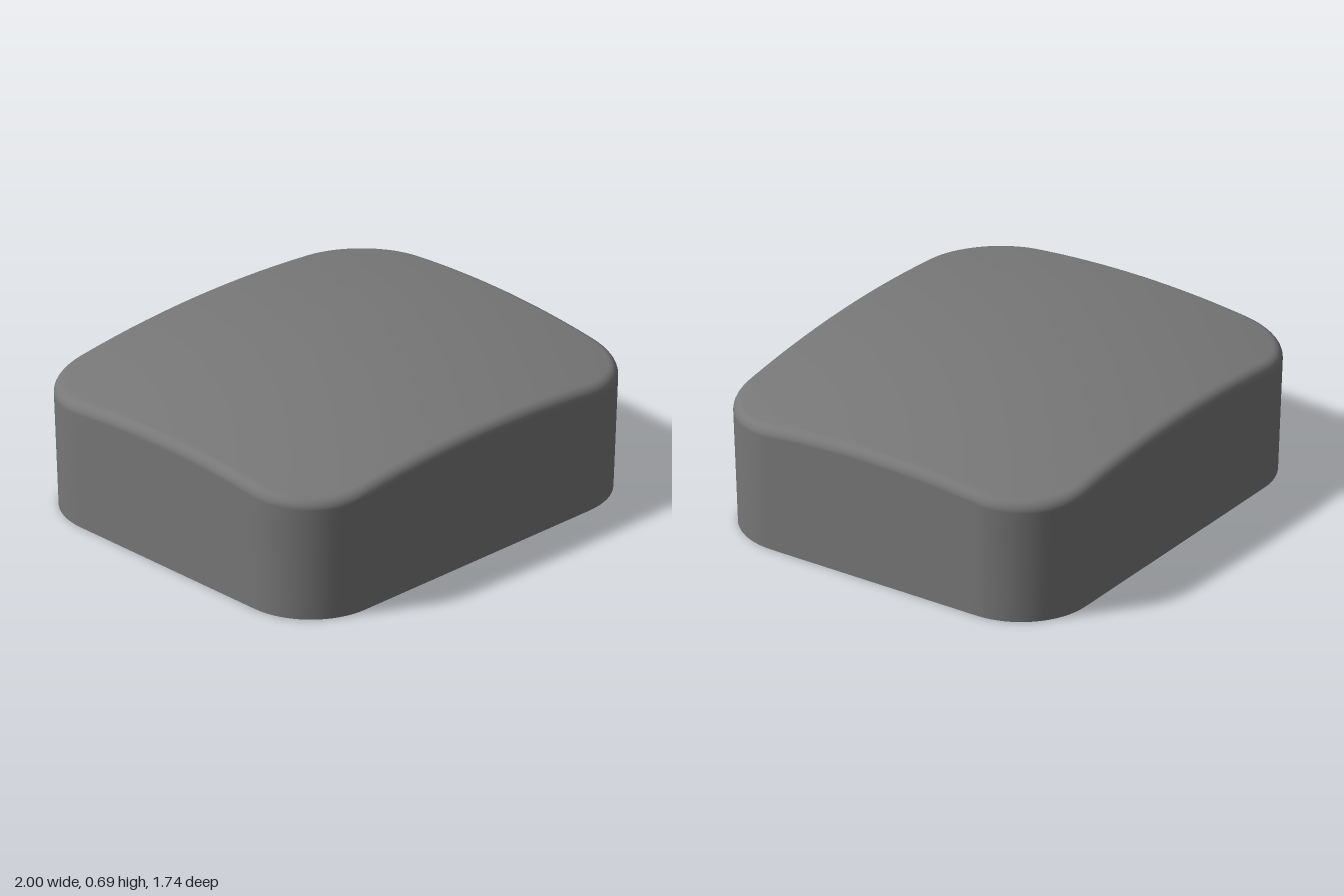
import * as THREE from 'three';

const HALF_X = 1, HALF_Z = 0.868, CORNER = 0.345, FILLET = 0.05;
const CORNER_STEPS = 16, SIDE_STEPS = 14;

// Height of the gently domed top
const dome = (x, z) => 0.695 - 0.088 * x * x - 0.108 * z * z;

// Rounded-rectangle outline, moved inward by inset
function outline(inset) {
  const cx = HALF_X - CORNER, cz = HALF_Z - CORNER, r = CORNER - inset;
  const points = [];
  const signs = [[1, 1], [-1, 1], [-1, -1], [1, -1]];
  signs.forEach(([sx, sz], k) => {
    for (let i = 0; i <= CORNER_STEPS; i++) {
      const a = (k + i / CORNER_STEPS) * Math.PI / 2;
      points.push([sx * cx + r * Math.cos(a), sz * cz + r * Math.sin(a)]);
    }
    // Straight side up to the next corner
    const [x, z] = points[points.length - 1];
    const [nx, nz] = signs[(k + 1) % 4];
    const a = (k + 1) * Math.PI / 2;
    const ex = nx * cx + r * Math.cos(a), ez = nz * cz + r * Math.sin(a);
    for (let i = 1; i < SIDE_STEPS; i++) {
      const t = i / SIDE_STEPS;
      points.push([x + (ex - x) * t, z + (ez - z) * t]);
    }
  });
  return points;
}

function shellGeometry() {
  const rings = [];
  const endAngle = THREE.MathUtils.degToRad(80);
  const rim = outline(FILLET * (1 - Math.cos(endAngle)));
  const base = rim.map(([x, z]) => dome(x, z) - FILLET * Math.sin(endAngle));

  // Slightly tapered wall
  for (let i = 0; i < 6; i++) {
    const t = i / 6;
    rings.push(outline(0.02 * (1 - t)).map(([x, z], k) => [x, base[k] * t, z]));
  }
  // Rounded upper edge
  for (let i = 0; i <= 8; i++) {
    const a = endAngle * i / 8;
    rings.push(outline(FILLET * (1 - Math.cos(a)))
      .map(([x, z], k) => [x, base[k] + FILLET * Math.sin(a), z]));
  }
  // Domed top, closing in on the centre
  for (const s of [0.98, 0.93, 0.85, 0.75, 0.65, 0.55, 0.45, 0.35, 0.25, 0.15, 0.06]) {
    rings.push(rim.map(([x, z]) => [x * s, dome(x * s, z * s), z * s]));
  }

  const n = rim.length, index = [];
  const positions = rings.flat(2);
  positions.push(0, dome(0, 0), 0);
  for (let j = 0; j < rings.length; j++) {
    for (let i = 0; i < n; i++) {
      const a = j * n + i, b = j * n + (i + 1) % n;
      if (j === rings.length - 1) index.push(a, rings.length * n, b);
      else index.push(a, a + n, b, b, a + n, b + n);
    }
  }
  const geometry = new THREE.BufferGeometry();
  geometry.setAttribute('position', new THREE.Float32BufferAttribute(positions, 3));
  geometry.setIndex(index);
  geometry.computeVertexNormals();
  return geometry;
}

export function createModel() {
  const grey = new THREE.MeshStandardMaterial({ color: 0x787878, side: THREE.DoubleSide });
  grey.name = 'grey';

  // Hollow cap, open underneath
  const shell = new THREE.Mesh(shellGeometry(), grey);
  shell.name = 'capShell';

  const model = new THREE.Group();
  model.name = 'domedCap';
  model.add(shell);
  return model;
}
